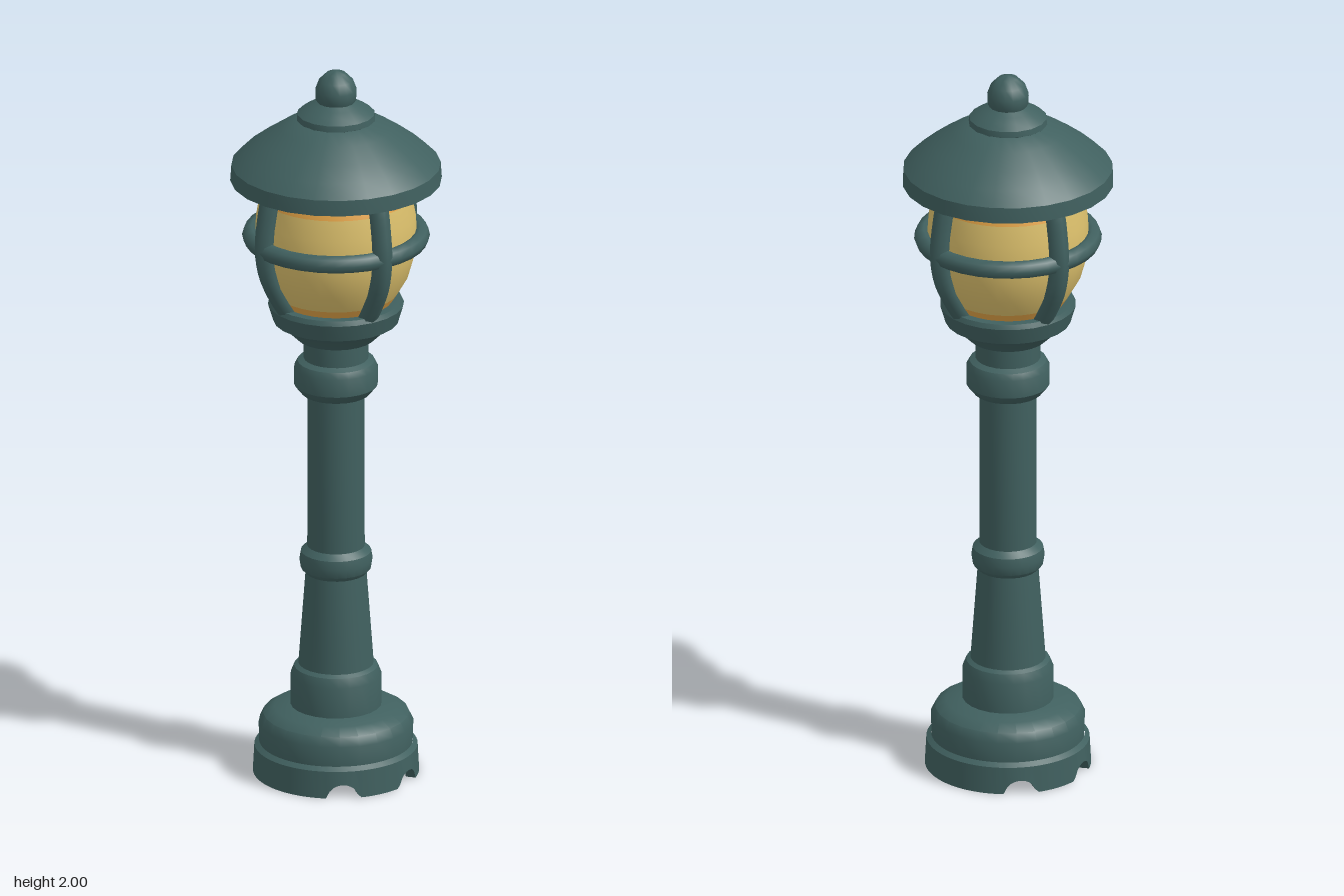
import * as THREE from 'three';
import { toCreasedNormals } from 'three/addons/utils/BufferGeometryUtils.js';

const iron = new THREE.MeshStandardMaterial({ color: 0x40605f });
iron.name = 'dark green iron';
const glass = new THREE.MeshStandardMaterial({ color: 0xdcc06c });
glass.name = 'warm yellow glass';
const amber = new THREE.MeshStandardMaterial({ color: 0xe5a548 });
amber.name = 'amber glass';

function add(parent, name, geometry, material) {
  const mesh = new THREE.Mesh(geometry, material);
  mesh.name = name;
  parent.add(mesh);
  return mesh;
}

// Turned part from [radius, height] pairs, listed from the bottom up
function turned(points, sides = 24, crease = 0.6) {
  const profile = points.map(([r, y]) => new THREE.Vector2(r, y));
  return toCreasedNormals(new THREE.LatheGeometry(profile, sides), crease);
}

// Hollow foot ring whose lower edge rises into four small arches
function footGeometry() {
  const profile = [[0, 0.06], [0.185, 0.06], [0.195, 0], [0.222, 0], [0.218, 0.075], [0.205, 0.085]]
    .map(([r, y]) => new THREE.Vector2(r, y));
  const geometry = new THREE.LatheGeometry(profile, 144);
  const p = geometry.attributes.position;
  for (let i = 0; i < p.count; i++) {
    if (p.getY(i) > 0.001) continue;
    const angle = Math.atan2(Math.abs(p.getX(i)), Math.abs(p.getZ(i)));
    const t = (angle - 0.49) / 0.19;
    if (Math.abs(t) < 1) p.setY(i, 0.038 * Math.sqrt(1 - t * t));
  }
  return toCreasedNormals(geometry, 0.6);
}

export function createModel() {
  const lamp = new THREE.Group();
  lamp.name = 'streetLamp';

  // Base
  add(lamp, 'foot', footGeometry(), iron);
  add(lamp, 'baseDrum', turned([
    [0.205, 0.08], [0.207, 0.14], [0.195, 0.165], [0.165, 0.183], [0.115, 0.192],
  ]), iron);
  add(lamp, 'plinth', turned([
    [0.122, 0.18], [0.122, 0.275], [0.112, 0.3], [0.1, 0.308],
  ]), iron);

  // Post
  add(lamp, 'taperedShaft', turned([[0.102, 0.29], [0.08, 0.59]]), iron);
  add(lamp, 'shaftRing', turned([
    [0.08, 0.565], [0.094, 0.58], [0.098, 0.605], [0.094, 0.628], [0.077, 0.643],
  ]), iron);
  add(lamp, 'upperShaft', turned([[0.077, 0.6], [0.076, 1.1]]), iron);
  add(lamp, 'collar', turned([
    [0.076, 1.075], [0.092, 1.08], [0.112, 1.105], [0.112, 1.155], [0.103, 1.172], [0.087, 1.18],
  ]), iron);
  add(lamp, 'neck', turned([[0.087, 1.17], [0.087, 1.25]]), iron);
  add(lamp, 'globeCup', turned([
    [0, 1.238], [0.105, 1.238], [0.15, 1.282], [0.168, 1.288], [0.182, 1.335],
    [0.176, 1.348], [0.155, 1.348], [0, 1.34],
  ]), iron);

  // Glass globe in coloured bands
  add(lamp, 'globeBottom', turned([[0.14, 1.33], [0.166, 1.37]], 32, 1), amber);
  add(lamp, 'globeMiddle', turned([
    [0.166, 1.37], [0.195, 1.42], [0.212, 1.48], [0.217, 1.53], [0.213, 1.59], [0.203, 1.645],
  ], 32, 1), glass);
  add(lamp, 'globeTop', turned([
    [0.203, 1.645], [0.19, 1.69], [0.17, 1.73], [0.13, 1.775],
  ], 32, 1), amber);

  // Cage
  const cage = new THREE.Group();
  cage.name = 'globeCage';
  const ribPath = new THREE.CatmullRomCurve3([
    [0.14, 1.325], [0.18, 1.385], [0.212, 1.45], [0.226, 1.53],
    [0.219, 1.61], [0.204, 1.68], [0.17, 1.75],
  ].map(([z, y]) => new THREE.Vector3(0, y, z)));
  const ribGeometry = new THREE.TubeGeometry(ribPath, 20, 0.028, 8);
  for (let i = 0; i < 4; i++) {
    add(cage, 'cageRib', ribGeometry, iron).rotation.y = i * Math.PI / 2;
  }
  const ring = add(cage, 'cageRing', new THREE.TorusGeometry(0.226, 0.025, 8, 32), iron);
  ring.rotation.x = Math.PI / 2;
  ring.position.y = 1.53;
  lamp.add(cage);

  // Roof and finial
  add(lamp, 'roof', turned([
    [0, 1.78], [0.16, 1.765], [0.225, 1.735], [0.262, 1.69], [0.283, 1.69], [0.28, 1.733],
    [0.245, 1.768], [0.2, 1.802], [0.15, 1.836], [0.1, 1.864], [0, 1.87],
  ]), iron);
  add(lamp, 'roofCap', turned([
    [0.098, 1.855], [0.106, 1.862], [0.104, 1.878], [0.085, 1.892], [0.068, 1.902], [0.05, 1.912],
  ], 16), iron);
  add(lamp, 'finial', turned([
    [0.045, 1.9], [0.055, 1.92], [0.056, 1.945], [0.046, 1.972], [0.026, 1.992], [0, 2],
  ], 16, 1), iron);

  return lamp;
}
